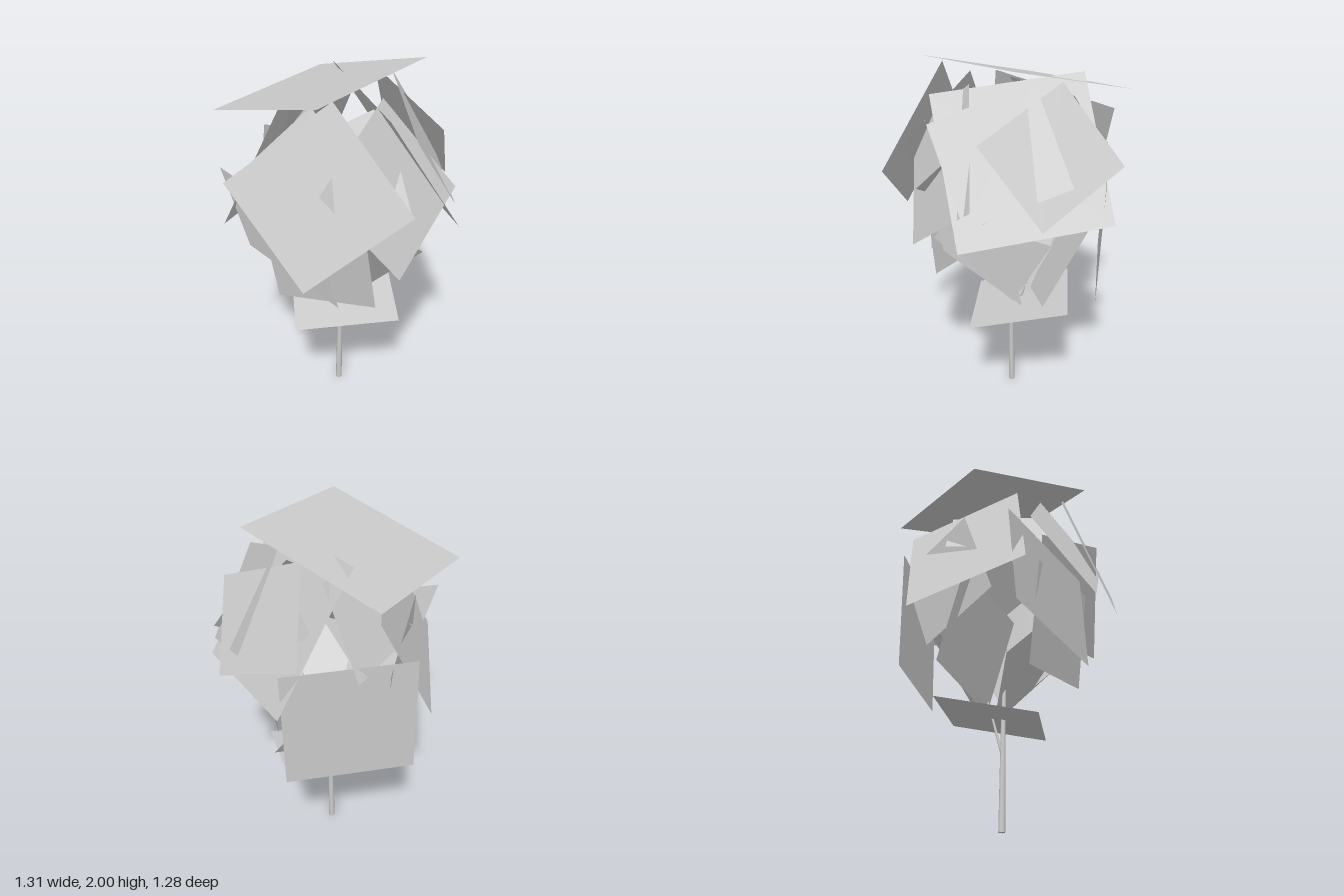
import * as THREE from 'three';

const foliageMaterial = new THREE.MeshStandardMaterial({
  color: 0xcccccc, side: THREE.DoubleSide, flatShading: true,
});
const barkMaterial = new THREE.MeshStandardMaterial({ color: 0xcccccc });

// Flat leaf card: a corner and its two neighbours; the fourth corner follows.
function leafCard(name, corner, sideA, sideB) {
  const a = new THREE.Vector3(...corner);
  const b = new THREE.Vector3(...sideA);
  const d = new THREE.Vector3(...sideB);
  const c = b.clone().add(d).sub(a);
  const geometry = new THREE.BufferGeometry().setFromPoints([a, b, c, d]);
  geometry.setIndex([0, 1, 2, 0, 2, 3]);
  geometry.computeVertexNormals();
  const mesh = new THREE.Mesh(geometry, foliageMaterial);
  mesh.name = name;
  return mesh;
}

// Tapered round limb between two points.
function limb(name, from, to, r0, r1) {
  const a = new THREE.Vector3(...from);
  const b = new THREE.Vector3(...to);
  const dir = b.clone().sub(a);
  const mesh = new THREE.Mesh(new THREE.CylinderGeometry(r1, r0, dir.length(), 8), barkMaterial);
  mesh.position.copy(a).add(b).multiplyScalar(0.5);
  mesh.quaternion.setFromUnitVectors(new THREE.Vector3(0, 1, 0), dir.normalize());
  mesh.name = name;
  return mesh;
}

export function createModel() {
  const tree = new THREE.Group();
  tree.name = 'tree';

  // Trunk and thin branches
  const wood = new THREE.Group();
  wood.name = 'wood';
  wood.add(
    limb('trunk', [0.01, 0, -0.04], [0.015, 0.6, -0.03], 0.018, 0.013),
    limb('upperTrunk', [0.015, 0.6, -0.03], [0.02, 1.05, -0.01], 0.013, 0.005),
    limb('branch', [0.02, 0.42, -0.04], [0.06, 0.62, -0.075], 0.008, 0.006),
    limb('branch', [0.06, 0.62, -0.075], [0.12, 0.9, -0.13], 0.006, 0.003),
    limb('branch', [0.02, 0.8, -0.02], [0.12, 1.1, 0.08], 0.006, 0.003),
  );
  tree.add(wood);

  // Crown of leaf cards set around a rough ball
  const crown = new THREE.Group();
  crown.name = 'crown';
  const cards = {
    topLeaf: [[-0.4, 1.94, 0.26], [0.38, 2.0, 0.21], [-0.43, 1.74, -0.5]],
    bottomLeaf: [[-0.32, 0.53, -0.04], [0.13, 0.57, 0.33], [0, 0.63, -0.46]],
    frontLeaf: [[-0.1, 1.04, 0.52], [0.37, 1.38, 0.46], [-0.43, 1.54, 0.3]],
    innerFrontLeaf: [[-0.03, 1.38, 0.52], [-0.36, 1.13, 0.17], [0.17, 1.78, 0.12]],
    frontRightLeaf: [[-0.55, 1.07, 0.31], [-0.15, 1.46, 0.64], [-0.66, 1.54, -0.12]],
    frontLeftLeaf: [[-0.07, 1.83, 0.4], [0.35, 1.175, 0.52], [0.23, 1.9, -0.32]],
    upperFrontLeftLeaf: [[0.3, 1.92, 0.05], [0.034, 1.72, 0.48], [0.62, 1.49, 0.05]],
    upperLeftLeaf: [[0.33, 1.9, -0.1], [0.33, 1.68, 0.39], [0.6, 1.52, -0.28]],
    leftLeaf: [[0.5, 1.155, 0.08], [0.4, 1.6, -0.2], [0.3, 1.32, 0.45]],
    backLeftLeaf: [[0.57, 0.78, -0.17], [0.08, 0.79, -0.62], [0.6, 1.45, -0.17]],
    backRightLeaf: [[-0.015, 1.08, -0.645], [-0.57, 1.22, -0.28], [0.27, 1.69, -0.5]],
    backLeaf: [[0.24, 1.42, -0.55], [-0.18, 1.62, -0.41], [0.1, 0.95, -0.46]],
    upperBackLeftLeaf: [[0.37, 1.4, -0.46], [-0.12, 1.4, -0.42], [0.3, 1.81, -0.2]],
    upperBackRightLeaf: [[-0.1, 1.45, -0.48], [-0.46, 1.4, -0.1], [0.1, 1.8, -0.33]],
    rightLeaf: [[-0.44, 1.05, -0.25], [-0.31, 0.86, 0.3], [-0.52, 1.5, -0.35]],
    upperRightLeaf: [[-0.5, 1.19, 0.22], [-0.25, 1.53, 0.47], [-0.5, 1.52, -0.2]],
    lowerFrontRightLeaf: [[-0.36, 0.755, -0.12], [-0.12, 0.81, 0.38], [-0.46, 1.3, -0.12]],
    lowerFrontLeaf: [[0.16, 0.61, 0], [0.13, 1.09, 0.47], [-0.2, 0.87, -0.15]],
    lowerFrontLeftLeaf: [[0.27, 0.75, 0.14], [0.48, 1.2, 0], [-0.05, 1.07, 0.42]],
    lowerBackLeftLeaf: [[0.41, 0.75, 0.05], [0.05, 0.65, -0.13], [0.44, 1.2, -0.27]],
    lowerBackRightLeaf: [[0.1, 0.64, -0.08], [-0.12, 1.1, -0.05], [0, 0.83, -0.45]],
  };
  for (const [name, corners] of Object.entries(cards)) crown.add(leafCard(name, ...corners));
  tree.add(crown);

  return tree;
}
